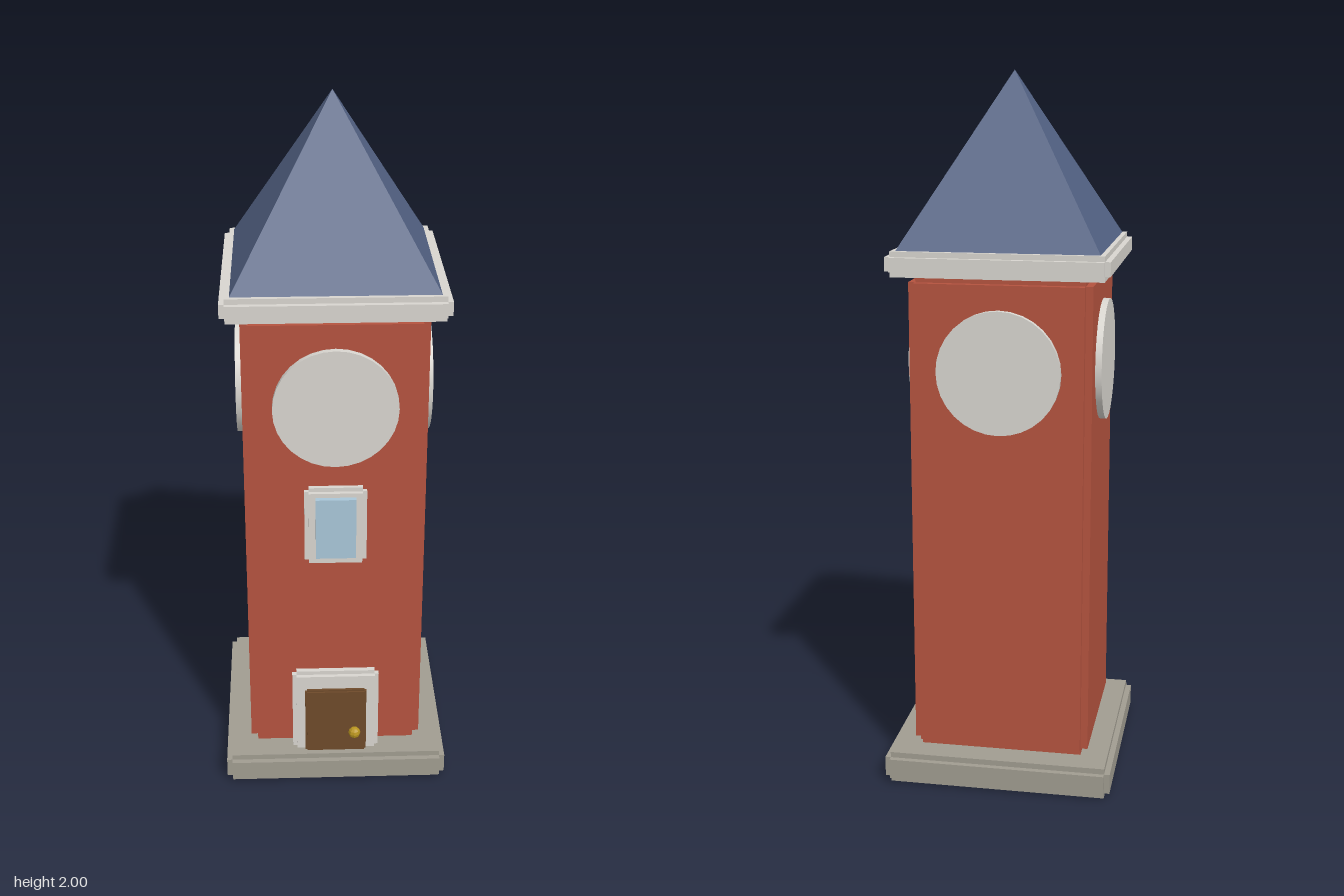
import * as THREE from 'three';

const mat = (color, flatShading = false) => new THREE.MeshStandardMaterial({ color, flatShading });

export function createModel() {
  const tower = new THREE.Group();
  tower.name = 'clockTower';

  const brick = mat(0xb4533f), trim = mat(0xd8d5cf), stone = mat(0xa09c90);
  const slate = mat(0x536284, true), wood = mat(0x6e4a2a), glass = mat(0xa9c6d8), brass = mat(0xb8941f, true);

  function add(name, geometry, material, x, y, z, parent = tower) {
    const mesh = new THREE.Mesh(geometry, material);
    mesh.name = name;
    mesh.position.set(x, y, z);
    parent.add(mesh);
    return mesh;
  }

  // Block with stepped (notched) edges: three crossing boxes, each full size along one axis
  function steppedBlock(name, material, w, h, d, bevel, x, y0, z) {
    const group = new THREE.Group();
    group.name = name;
    const b = 2 * bevel;
    const sizes = [[w, h - b, d - b], [w - b, h, d - b], [w - b, h - b, d]];
    sizes.forEach((s, i) => add(name + 'Layer' + (i + 1), new THREE.BoxGeometry(...s), material, 0, 0, 0, group));
    group.position.set(x, y0 + h / 2, z);
    tower.add(group);
  }

  // Main masses
  steppedBlock('base', stone, 0.65, 0.09, 0.65, 0.016, 0, 0, 0);
  steppedBlock('shaft', brick, 0.504, 1.373, 0.504, 0.02, 0, 0.09, 0);
  steppedBlock('cornice', trim, 0.606, 0.069, 0.606, 0.015, 0, 1.463, 0);

  // Pyramid roof, turned so its sides face the axes
  const roof = new THREE.ConeGeometry(0.275 * Math.SQRT2, 0.468, 4);
  roof.rotateY(Math.PI / 4);
  add('roof', roof, slate, 0, 1.532 + 0.234, 0);

  // One clock disc on each side
  const disc = new THREE.CylinderGeometry(0.171, 0.171, 0.04, 32);
  disc.rotateX(Math.PI / 2);
  for (let i = 0; i < 4; i++) {
    const a = i * Math.PI / 2;
    add('clockFace' + (i + 1), disc, trim, Math.sin(a) * 0.25, 1.205, Math.cos(a) * 0.25).rotation.y = a;
  }

  // Window on the front
  steppedBlock('windowFrame', trim, 0.174, 0.24, 0.05, 0.012, 0, 0.727, 0.252);
  add('windowPane', new THREE.BoxGeometry(0.112, 0.185, 0.04), glass, 0, 0.85, 0.272);

  // Door on the front
  steppedBlock('doorFrame', trim, 0.254, 0.35, 0.05, 0.012, 0, 0.008, 0.254);
  steppedBlock('door', wood, 0.18, 0.3, 0.05, 0.005, 0, 0.004, 0.267);
  add('doorKnob', new THREE.SphereGeometry(0.018, 8, 6), brass, 0.055, 0.157, 0.297);

  return tower;
}
